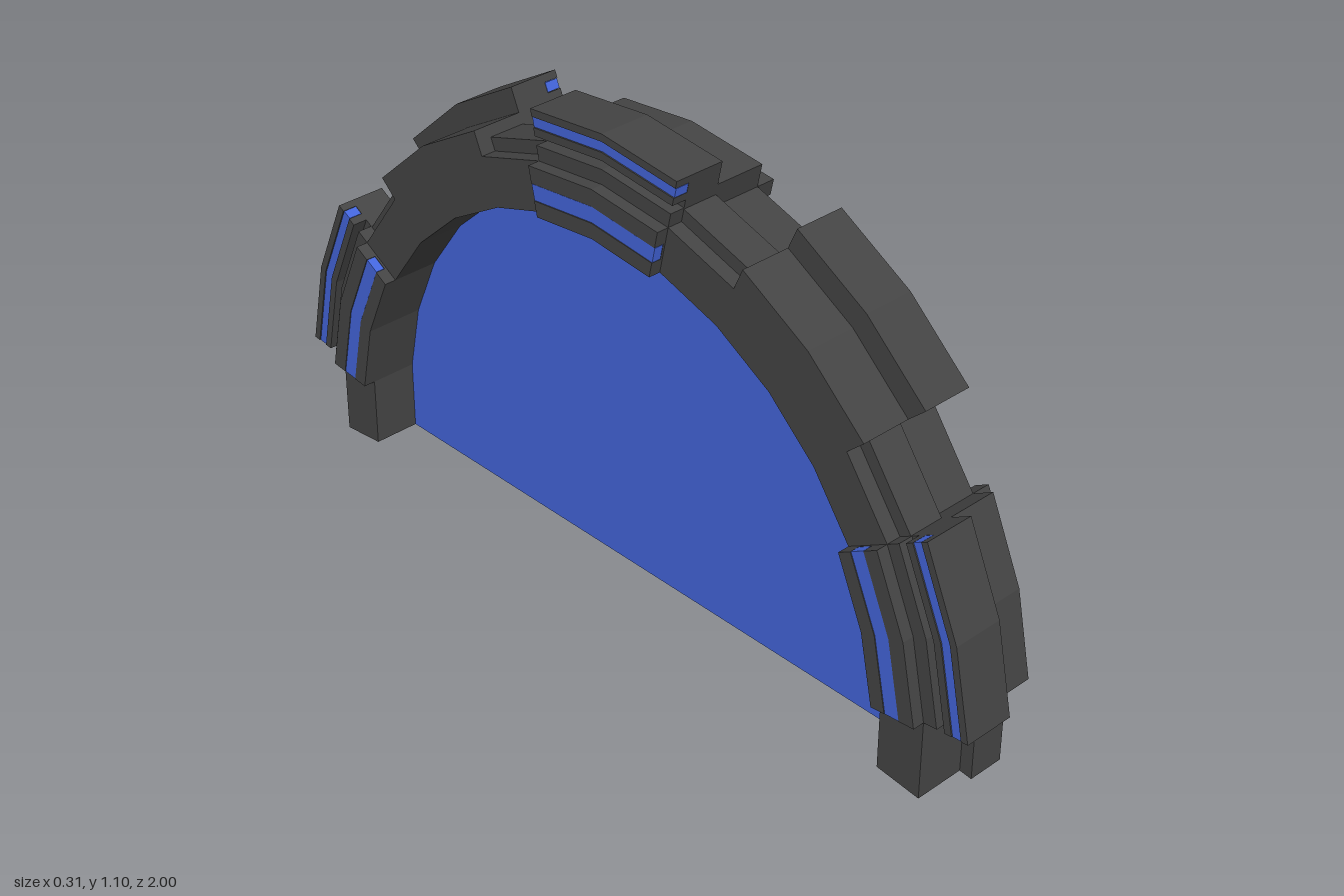
import * as THREE from 'three';

const STEP = Math.PI / 15;   // the ring has 30 facets
const CY = 0.105;            // height of the ring centre
const CX = -0.01;            // mid plane of the ring
const R_IN = 0.785;

const dark = new THREE.MeshStandardMaterial({ color: 0x444444, flatShading: true, side: THREE.DoubleSide });
const blue = new THREE.MeshStandardMaterial({ color: 0x4466dd, flatShading: true, side: THREE.DoubleSide });

// Sweep a cross-section of [offset, radius] points around the ring, from facet `from` to facet `to`.
// side = 1 or -1 mirrors the offsets across the mid plane.
function sweep(name, profile, from, to, side, material, capped = true) {
  let pts = profile.map(([u, r]) => new THREE.Vector2(CX + side * u, r));
  if (THREE.ShapeUtils.isClockWise(pts)) pts = pts.reverse();
  const at = (p, k) => [p.x, CY + p.y * Math.cos(k * STEP), p.y * Math.sin(k * STEP)];
  const pos = [];
  const tri = (a, b, c) => pos.push(...a, ...b, ...c);
  for (let k = from; k < to; k++) {
    pts.forEach((p, i) => {
      const q = pts[(i + 1) % pts.length];
      tri(at(p, k), at(q, k), at(q, k + 1));
      tri(at(p, k), at(q, k + 1), at(p, k + 1));
    });
  }
  if (capped) {
    for (const [a, b, c] of THREE.ShapeUtils.triangulateShape(pts, [])) {
      tri(at(pts[a], to), at(pts[b], to), at(pts[c], to));
      tri(at(pts[a], from), at(pts[c], from), at(pts[b], from));
    }
  }
  const geo = new THREE.BufferGeometry();
  geo.setAttribute('position', new THREE.Float32BufferAttribute(pos, 3));
  geo.computeVertexNormals();
  const mesh = new THREE.Mesh(geo, material);
  mesh.name = name;
  return mesh;
}

const rect = (u0, u1, r0, r1) => [[u0, r0], [u1, r0], [u1, r1], [u0, r1]];

// Plain ring section: one half raised, with a lower lip at its edge
const ringProfile = [
  [-0.12, R_IN], [0.12, R_IN], [0.12, 0.895], [0.085, 0.895],
  [0.085, 0.925], [0, 0.925], [0, 0.895], [-0.12, 0.895],
];

// Clamp section: tall grooved half and a low half
const clampProfile = [
  [-0.12, R_IN], [0.12, R_IN], [0.12, 0.928], [0.085, 0.928], [0.085, 0.947], [0.12, 0.947],
  [0.12, 0.965], [0.085, 0.965], [0.085, 0.988], [0.12, 0.988], [0.12, 1.005],
  [0, 1.005], [0, 0.95], [-0.12, 0.95],
];

// Side plate with a groove holding a light strip
const sidePlate = (u) => [
  [0.12, R_IN], [u, R_IN], [u, 0.82], [0.125, 0.82],
  [0.125, 0.857], [u, 0.857], [u, 0.895], [0.12, 0.895],
];

export function createModel() {
  const model = new THREE.Group();

  // Ring sections between the clamps; the lowest pair are the open-ended feet
  for (const [k, side, name] of [[1, -1, 'ringSection'], [4, -1, 'ringSection'], [7, 1, 'foot']]) {
    model.add(sweep(name, ringProfile, k, k + 1, side, dark, false));
    model.add(sweep(name, ringProfile, -k - 1, -k, side, dark, false));
  }

  // Five clamps, alternating which half is tall
  for (const k of [-6, -3, 0, 3, 6]) {
    const side = k % 2 === 0 ? -1 : 1;
    const clamp = new THREE.Group();
    clamp.name = 'clamp';
    clamp.add(sweep('clampBody', clampProfile, k - 1, k + 1, side, dark));
    clamp.add(sweep('clampLight', rect(0.086, 0.118, 0.966, 0.987), k - 1, k + 1, side, blue));
    // Side plates only on every second clamp
    if (side === -1) {
      for (const [s, u, lightU] of [[1, 0.165, 0.155], [-1, 0.148, 0.147]]) {
        clamp.add(sweep('sidePlate', sidePlate(u), k - 1, k + 1, s, dark));
        clamp.add(sweep('sideLight', rect(0.126, lightU, 0.821, 0.856), k - 1, k + 1, s, blue));
      }
    }
    model.add(clamp);
  }

  // Thin panel filling the arch
  const shape = new THREE.Shape();
  for (let k = -8; k <= 8; k++) {
    const x = R_IN * Math.sin(k * STEP), y = CY + R_IN * Math.cos(k * STEP);
    if (k === -8) shape.moveTo(x, y); else shape.lineTo(x, y);
  }
  shape.closePath();
  const panelGeo = new THREE.ExtrudeGeometry(shape, { depth: 0.02, bevelEnabled: false });
  panelGeo.translate(0, 0, -0.01).rotateY(-Math.PI / 2).translate(CX, 0, 0);
  const panel = new THREE.Mesh(panelGeo, blue);
  panel.name = 'panel';
  model.add(panel);

  // Rest the feet on the ground
  model.position.y = -new THREE.Box3().setFromObject(model).min.y;
  return model;
}
